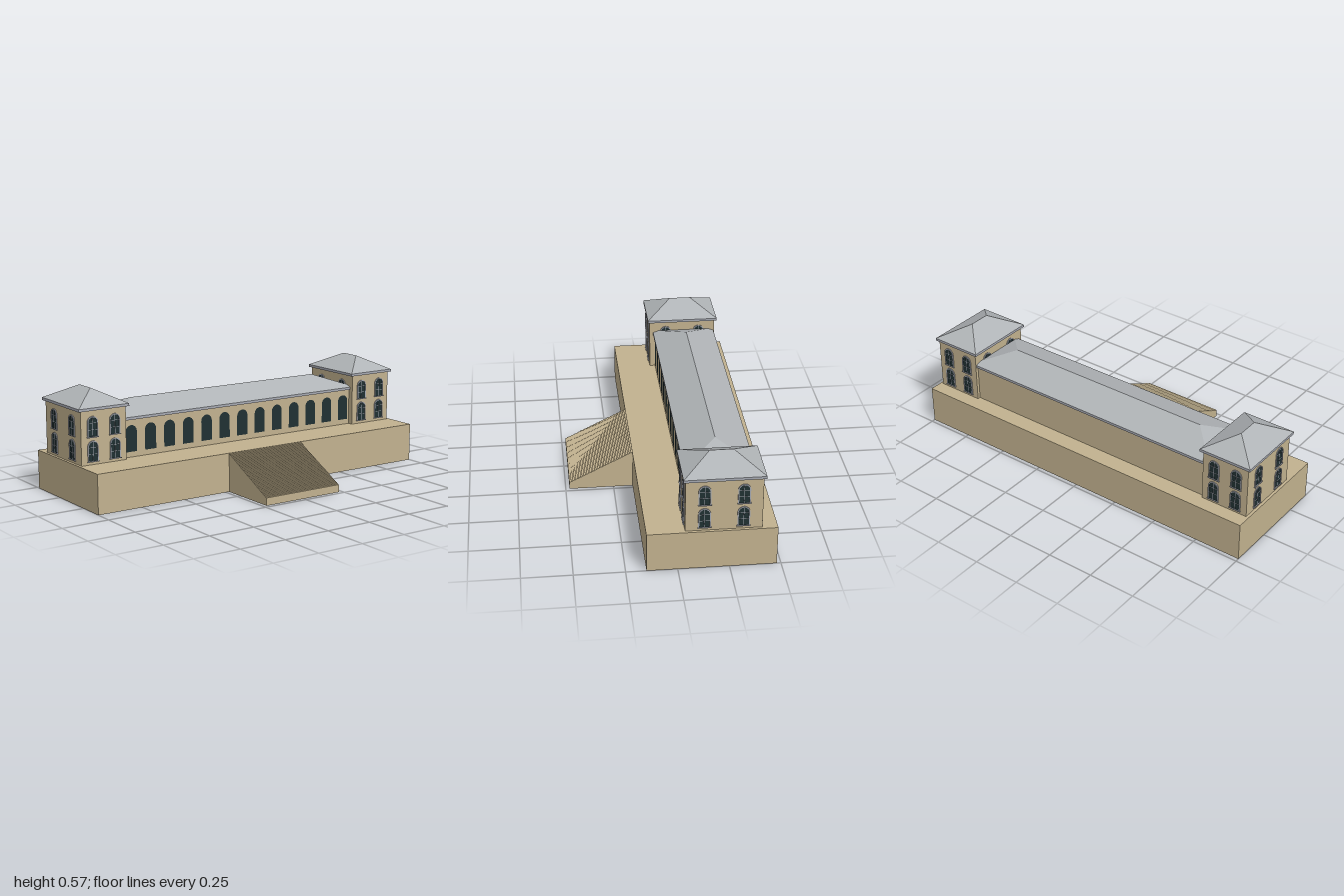
import * as THREE from 'three';

const mat = (name, color, side = THREE.FrontSide) => {
  const m = new THREE.MeshStandardMaterial({ color, side });
  m.name = name;
  return m;
};

export function createModel() {
  const stone = mat('sandstone', 0xc2b28f, THREE.DoubleSide);
  const slate = mat('greyRoof', 0xb0b4b7);
  const trim = mat('paleTrim', 0xa6a9b2);
  const glass = mat('darkGlass', 0x203032);

  const model = new THREE.Group();
  model.name = 'pavilion';
  const GROUND = 0.205, ZC = -0.22;

  const add = (parent, name, geo, material, x = 0, y = 0, z = 0) => {
    const m = new THREE.Mesh(geo, material);
    m.name = name;
    m.position.set(x, y, z);
    parent.add(m);
    return m;
  };
  const box = (parent, name, material, w, h, d, x, y, z) =>
    add(parent, name, new THREE.BoxGeometry(w, h, d), material, x, y + h / 2, z);

  // Hipped roof: eaves rectangle (half sizes w, d) rising to a ridge (half sizes rx, rz)
  const hipRoof = (w, d, h, rx, rz) => {
    const signs = [[1, 1], [1, -1], [-1, -1], [-1, 1]];
    const low = signs.map(([a, b]) => new THREE.Vector3(a * w, 0, b * d));
    const top = signs.map(([a, b]) => new THREE.Vector3(a * rx, h, b * rz));
    const pts = [];
    for (let i = 0; i < 4; i++) {
      const j = (i + 1) % 4;
      pts.push(low[i], low[j], top[j]);
      if (top[i].distanceTo(top[j]) > 1e-6) pts.push(low[i], top[j], top[i]);
    }
    const g = new THREE.BufferGeometry().setFromPoints(pts);
    g.computeVertexNormals();
    return g;
  };

  // Round-headed outline standing on y = 0
  const arch = (Type, w, h, base = 0) => {
    const s = new Type();
    s.moveTo(-w / 2, base);
    s.lineTo(w / 2, base);
    s.lineTo(w / 2, h - w / 2);
    s.absarc(0, h - w / 2, w / 2, 0, Math.PI, false);
    s.closePath();
    return s;
  };

  // Tower window: glass, arched surround, glazing bars and sill, facing +z
  const W = 0.05, H = 0.1;
  const paneGeo = new THREE.ShapeGeometry(arch(THREE.Shape, W, H), 10);
  const surround = arch(THREE.Shape, W + 0.01, H + 0.005);
  surround.holes.push(arch(THREE.Path, W, H, 0.001));
  const frameGeo = new THREE.ExtrudeGeometry(surround, { depth: 0.005, bevelEnabled: false, curveSegments: 10 });
  const towerWindow = (parent, x, y) => {
    const g = new THREE.Group();
    g.name = 'towerWindow';
    g.position.set(x, y, 0);
    add(g, 'windowGlass', paneGeo, glass, 0, 0, 0.002);
    add(g, 'windowSurround', frameGeo, trim);
    box(g, 'uprightBar', trim, 0.0022, H, 0.003, 0, 0, 0.002);
    for (const by of [0.036, 0.07]) box(g, 'crossBar', trim, W, 0.0018, 0.003, 0, by, 0.002);
    box(g, 'windowSill', trim, W + 0.016, 0.004, 0.008, 0, -0.003, 0.003);
    parent.add(g);
  };

  // Terrace: hollow box, open underneath
  const terrace = new THREE.BoxGeometry(2, GROUND, 0.63);
  const idx = Array.from(terrace.index.array);
  idx.splice(18, 6);
  terrace.clearGroups();
  terrace.setIndex(idx);
  add(model, 'terrace', terrace, stone, 0, GROUND / 2, -0.165);

  // Front steps, cut as one profile
  const STEPS = 40, run = 0.33 / STEPS, rise = 0.165 / STEPS;
  const profile = new THREE.Shape();
  profile.moveTo(0.15, 0);
  profile.lineTo(0.48, 0);
  for (let i = 0; i < STEPS; i++) {
    profile.lineTo(0.48 - i * run, 0.04 + i * rise);
    profile.lineTo(0.48 - (i + 1) * run, 0.04 + i * rise);
  }
  const stairs = new THREE.ExtrudeGeometry(profile, { depth: 0.46, bevelEnabled: false });
  stairs.rotateY(-Math.PI / 2).translate(0.23, 0, 0);
  add(model, 'frontSteps', stairs, stone);

  // Long hall with its roof
  const HZ = ZC - 0.007, hallFront = HZ + 0.162;
  box(model, 'hallWalls', stone, 1.48, 0.195, 0.324, 0, GROUND, HZ);
  box(model, 'hallCornice', trim, 1.52, 0.014, 0.345, 0, 0.4, HZ);
  add(model, 'hallRoof', hipRoof(0.76, 0.1725, 0.064, 0.588, 0), slate, 0, 0.414, HZ);

  // Arcade of thirteen arched windows along the front
  const arcadeGeo = new THREE.ShapeGeometry(arch(THREE.Shape, 0.066, 0.138), 12);
  for (let i = -6; i <= 6; i++)
    add(model, 'arcadeWindow', arcadeGeo, glass, i * 0.114, 0.233, hallFront + 0.002);

  // Matching end towers
  const TW = 0.256, TD = 0.37;
  for (const side of [-1, 1]) {
    const tower = new THREE.Group();
    tower.name = side > 0 ? 'leftTower' : 'rightTower';
    tower.position.set(side * 0.8575, 0, ZC);
    box(tower, 'towerWalls', stone, TW, 0.275, TD, 0, GROUND, 0);
    box(tower, 'towerCornice', trim, 0.285, 0.014, 0.392, 0, 0.48, 0);
    add(tower, 'towerRoof', hipRoof(0.1425, 0.196, 0.073, 0, 0.057), slate, 0, 0.494, 0);
    // Two storeys of paired windows on all four walls
    for (let f = 0; f < 4; f++) {
      const wall = new THREE.Group();
      wall.name = 'windowWall';
      const angle = f * Math.PI / 2, out = f % 2 ? TW / 2 : TD / 2;
      wall.rotation.y = angle;
      wall.position.set(Math.sin(angle) * out, 0, Math.cos(angle) * out);
      const gap = f % 2 ? 0.0935 : 0.063;
      for (const x of [-gap, gap]) for (const y of [0.222, 0.346]) towerWindow(wall, x, y);
      tower.add(wall);
    }
    model.add(tower);
  }
  return model;
}
